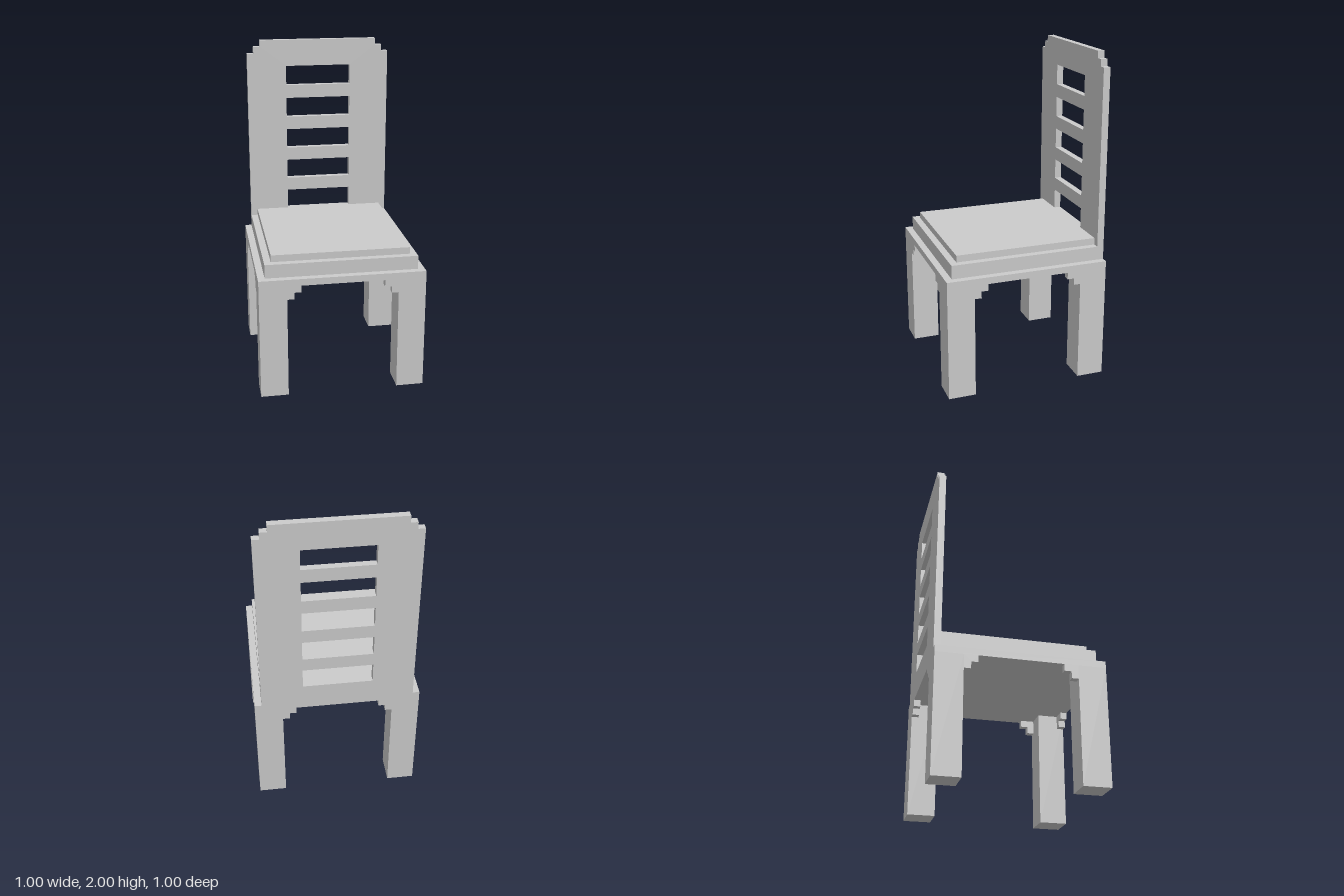
import * as THREE from 'three';

const U = 1 / 24; // block size: the chair is 24 blocks wide and 48 high
const material = new THREE.MeshStandardMaterial({ color: 0xcccccc, flatShading: true });

// Box given by its block-grid limits
function block(name, x0, x1, y0, y1, z0, z1) {
  const geometry = new THREE.BoxGeometry((x1 - x0) * U, (y1 - y0) * U, (z1 - z0) * U);
  geometry.translate((x0 + x1) / 2 * U, (y0 + y1) / 2 * U, (z0 + z1) / 2 * U);
  const mesh = new THREE.Mesh(geometry, material);
  mesh.name = name;
  return mesh;
}

function outline(points, Type = THREE.Shape) {
  return new Type(points.map(([x, y]) => new THREE.Vector2(x * U, y * U)));
}

function createBackrest() {
  // Right half of the panel with stepped top corners, then mirrored
  const half = [[11, 18], [11, 46], [10, 46], [10, 47], [9, 47], [9, 48]];
  const shape = outline([...half, ...half.map(([x, y]) => [-x, y]).reverse()]);
  // Five openings leave the slats between them
  for (let i = 0; i < 5; i++) {
    const y = 21 + i * 5;
    shape.holes.push(outline([[-5, y], [-5, y + 3], [5, y + 3], [5, y]], THREE.Path));
  }
  const geometry = new THREE.ExtrudeGeometry(shape, { depth: U, bevelEnabled: false });
  geometry.translate(0, 0, -12 * U);
  const mesh = new THREE.Mesh(geometry, material);
  mesh.name = 'backrest';
  return mesh;
}

// Stepped bracket, flush with the outer face, running inward from a leg
function createBracket() {
  const shape = outline([[0, 0], [1, 0], [1, 1], [2, 1], [2, 2], [0, 2]]);
  const mesh = new THREE.Mesh(
    new THREE.ExtrudeGeometry(shape, { depth: U, bevelEnabled: false }), material);
  mesh.name = 'bracket';
  return mesh;
}

// One corner in its own frame: the leg sits at +x, +z
function createLeg(name) {
  const group = new THREE.Group();
  group.name = name;
  group.add(block('leg', 8, 12, 0, 17, 8, 12));
  // Bracket along the x side
  const across = createBracket();
  across.rotation.y = Math.PI;
  across.position.set(8 * U, 15 * U, 12 * U);
  // Bracket along the z side
  const along = createBracket();
  along.rotation.y = Math.PI / 2;
  along.position.set(11 * U, 15 * U, 8 * U);
  group.add(across, along);
  return group;
}

export function createModel() {
  const chair = new THREE.Group();
  chair.name = 'chair';

  // Legs, turned a quarter for each corner
  ['frontLeftLeg', 'backLeftLeg', 'backRightLeg', 'frontRightLeg'].forEach((name, i) => {
    const leg = createLeg(name);
    leg.rotation.y = i * Math.PI / 2;
    chair.add(leg);
  });

  // Seat frame and stepped cushion
  chair.add(block('seatFrame', -12, 12, 17, 18, -12, 12));
  chair.add(block('seatBase', -11, 11, 18, 20, -11, 11));
  chair.add(block('seatCushion', -10, 10, 20, 21, -11, 10));

  chair.add(createBackrest());
  return chair;
}
